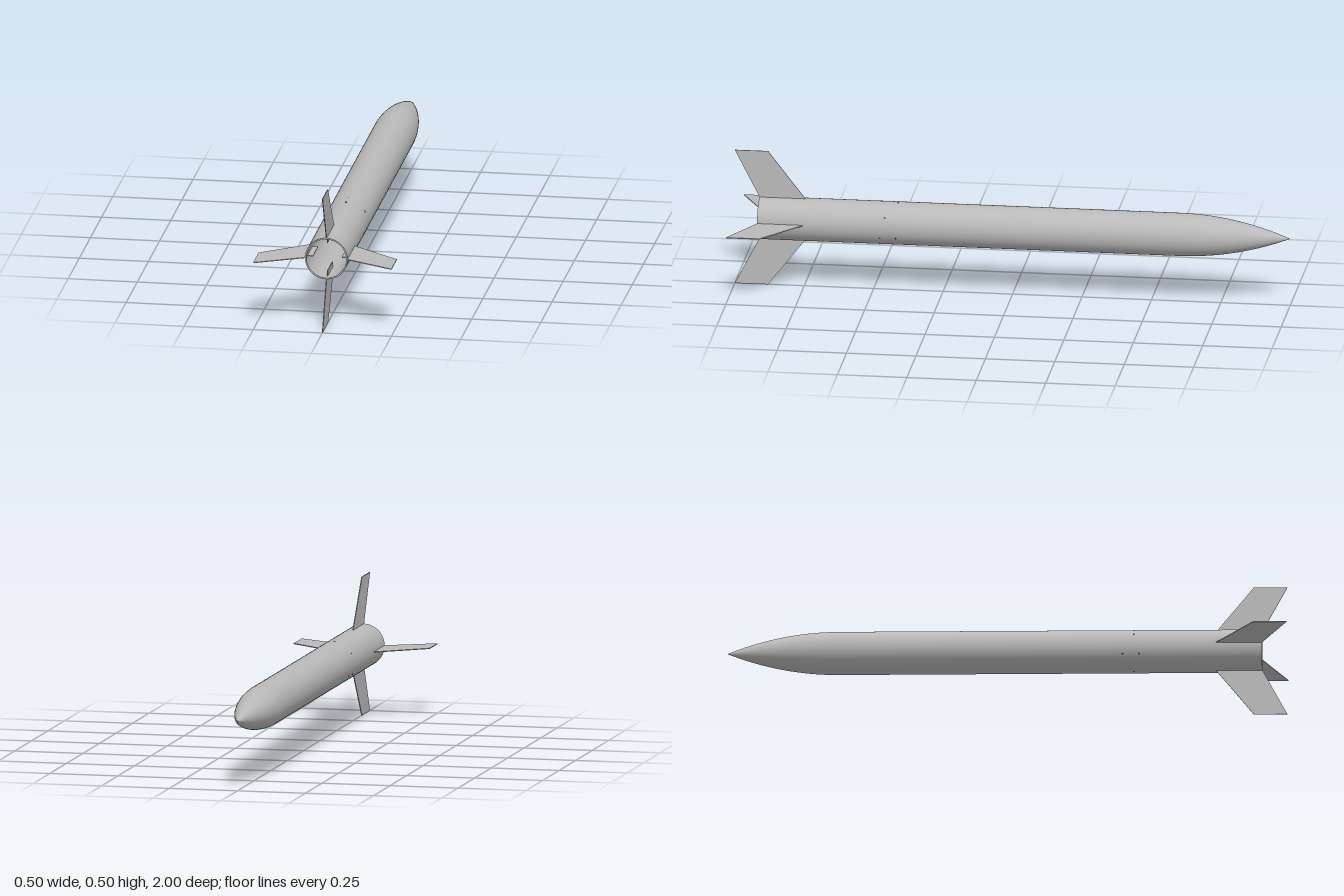
import * as THREE from 'three';

const R = 0.077, WALL = 0.005, TAIL = 0.91, SHOULDER = -0.6, TIP = -1;

// Tangent ogive: radius at distance t (0..1) along the nose
function ogive(t, r) {
  const len = SHOULDER - TIP;
  const rho = (r * r + len * len) / (2 * r);
  return Math.max(0, Math.sqrt(rho * rho - (t * len) ** 2) - rho + r);
}

// Surface of revolution about z from [radius, z] pairs
function revolve(pairs) {
  const geo = new THREE.LatheGeometry(pairs.map(([r, z]) => new THREE.Vector2(r, -z)), 64);
  return geo.rotateX(-Math.PI / 2);
}

function noseProfile(r, tip) {
  const pts = [];
  for (let i = 0; i <= 24; i++) {
    const t = i / 24;
    pts.push([ogive(t, r), SHOULDER + (tip - SHOULDER) * t]);
  }
  return pts;
}

export function createModel() {
  const grey = new THREE.MeshStandardMaterial({ color: 0xb9b9b9 });
  grey.name = 'light grey';
  const dark = new THREE.MeshStandardMaterial({ color: 0x5a5a5a });
  dark.name = 'dark grey';

  const model = new THREE.Group();
  model.name = 'rocket';
  const rocket = new THREE.Group();
  rocket.name = 'airframe';
  rocket.position.y = 0.25;
  model.add(rocket);

  const add = (name, geo, mat = grey) => {
    const mesh = new THREE.Mesh(geo, mat);
    mesh.name = name;
    rocket.add(mesh);
    return mesh;
  };

  // Hollow body tube and nose cone, open at the tail
  const ri = R - WALL;
  add('bodyTube', revolve([[R, TAIL], [R, SHOULDER]]));
  add('noseCone', revolve(noseProfile(R, TIP)));
  add('tubeLining', revolve([[ri, SHOULDER], [ri, TAIL]]));
  add('noseLining', revolve(noseProfile(ri, TIP + 0.02).reverse()));
  add('tailRim', revolve([[ri, TAIL], [R, TAIL]]));

  // Four swept fins with tabs reaching through the wall
  const shape = new THREE.Shape([
    [0.745, 0.076], [0.775, 0.076], [0.775, 0.052], [0.885, 0.052],
    [0.885, 0.076], [0.91, 0.076], [1.0, 0.25], [0.88, 0.25],
  ].map(([z, r]) => new THREE.Vector2(z, r)));
  const thick = 0.003;
  const finGeo = new THREE.ExtrudeGeometry(shape, { depth: thick, bevelEnabled: false });
  finGeo.translate(0, 0, -thick / 2).rotateY(-Math.PI / 2);
  for (let i = 0; i < 4; i++) add('fin' + (i + 1), finGeo).rotation.z = i * Math.PI / 2;

  // Small rivet and vent holes, three sets around the tube
  const holeGeo = new THREE.CylinderGeometry(0.004, 0.004, WALL + 0.001, 12);
  holeGeo.translate(0, R - WALL / 2, 0);
  for (let i = 0; i < 3; i++) {
    const turn = i * Math.PI * 2 / 3;
    for (const [z, offset] of [[0.412, 0], [0.47, 0], [0.452, Math.PI / 3]]) {
      const hole = add('ventHole', holeGeo, dark);
      hole.rotation.z = turn + offset;
      hole.position.z = z;
    }
  }
  return model;
}
